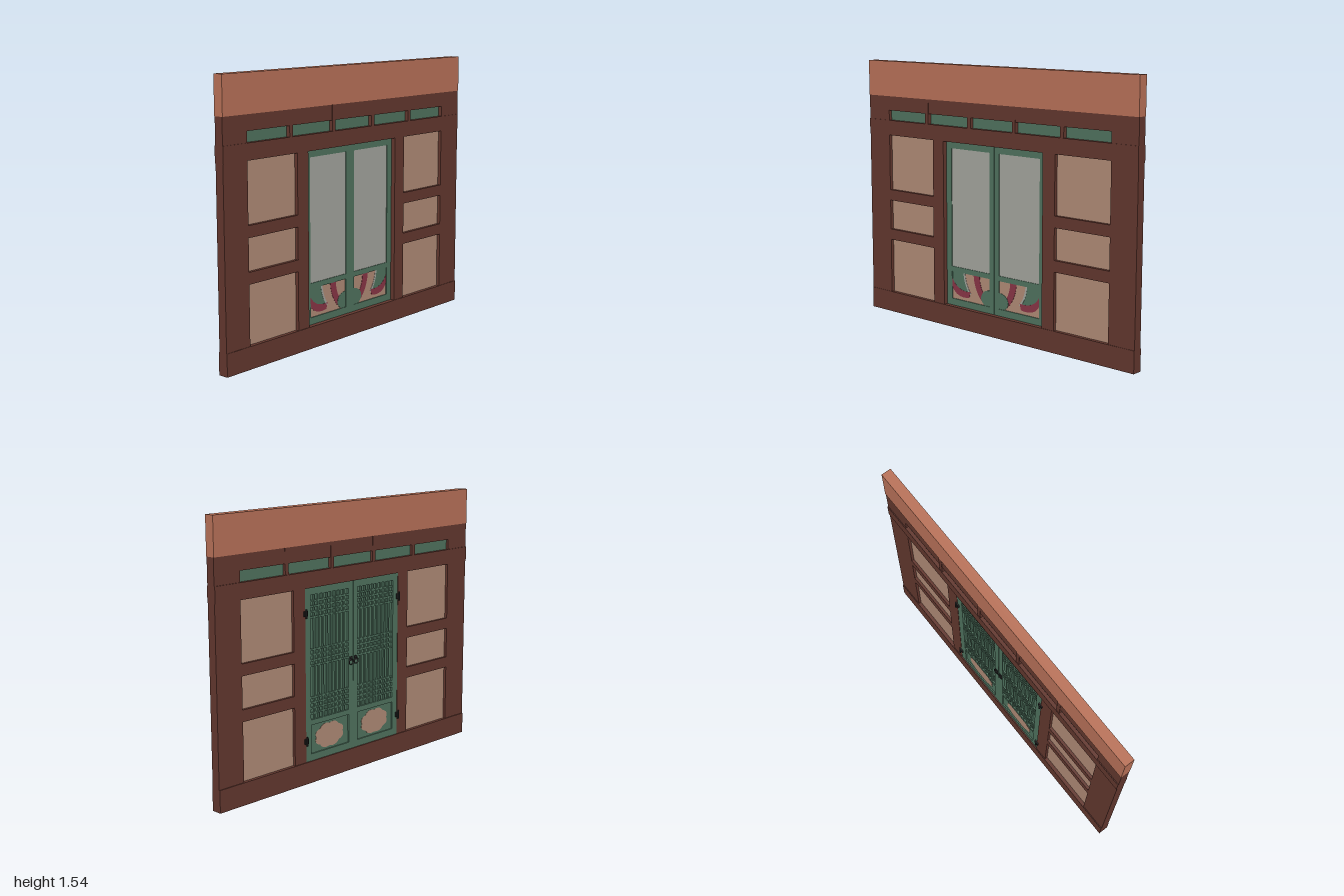
import * as THREE from 'three';

const mat = (name, color) => {
  const m = new THREE.MeshStandardMaterial({ color });
  m.name = name;
  return m;
};

export function createModel() {
  const root = new THREE.Group();
  root.name = 'doorWall';
  const wood = mat('darkWood', 0x62372e);
  const beamWood = mat('beamWood', 0xb87158);
  const green = mat('greenPaint', 0x4f725e);
  const plaster = mat('plaster', 0xaf8a76);
  const paper = mat('paper', 0xa3a49d);
  const crimson = mat('crimson', 0x883445);
  const iron = mat('iron', 0x222222);

  // Box from its limits on each axis
  const box = (name, m, x0, x1, y0, y1, z0, z1, parent = root) => {
    const mesh = new THREE.Mesh(new THREE.BoxGeometry(x1 - x0, y1 - y0, Math.abs(z1 - z0)), m);
    mesh.position.set((x0 + x1) / 2, (y0 + y1) / 2, (z0 + z1) / 2);
    mesh.name = name;
    parent.add(mesh);
    return mesh;
  };

  // Thin painted plate lying in the wall plane, facing +x (dir 1) or -x (dir -1)
  const plate = (name, m, shape, x, dir, parent) => {
    const geo = new THREE.ExtrudeGeometry(shape, { depth: 0.0015, bevelEnabled: false, curveSegments: 12 });
    const mesh = new THREE.Mesh(geo, m);
    mesh.rotation.y = dir * Math.PI / 2;
    mesh.position.x = x;
    mesh.name = name;
    parent.add(mesh);
  };

  // Beam, lintel and sill
  box('topBeam', beamWood, -0.025, 0.033, 1.335, 1.545, -1, 1);
  box('upperRail', wood, -0.022, 0.03, 1.25, 1.335, -1, 1);
  box('lintel', wood, -0.027, 0.033, 1.1, 1.19, -1, 1);
  box('sill', wood, -0.027, 0.033, 0, 0.125, -1, 1);

  // Transom panels and the small posts between them
  box('transomPanel', green, -0.008, 0.01, 1.18, 1.26, -0.84, 0.84);
  for (const z of [-0.507, -0.168, 0.168, 0.507])
    box('transomPost', wood, -0.024, 0.032, 1.19, 1.335, z - 0.0125, z + 0.0125);

  // Both side bays: posts, rails and plaster infill
  for (const s of [1, -1]) {
    box('transomEnd', wood, -0.022, 0.03, 1.19, 1.25, s * 0.83, s);
    box('outerPost', wood, -0.022, 0.03, 0.125, 1.1, s * 0.83, s);
    box('doorPost', wood, -0.022, 0.03, 0.125, 1.1, s * 0.375, s * 0.46);
    for (const [a, b] of [[0.455, 0.52], [0.7, 0.765]])
      box('bayRail', wood, -0.022, 0.03, a, b, s * 0.46, s * 0.83);
    for (const [a, b] of [[0.125, 0.455], [0.52, 0.7], [0.765, 1.1]])
      box('plasterPanel', plaster, -0.006, 0.01, a, b, s * 0.46, s * 0.83);
  }

  // Door leaves
  for (const s of [1, -1]) {
    const leaf = new THREE.Group();
    leaf.name = s > 0 ? 'leftDoorLeaf' : 'rightDoorLeaf';
    root.add(leaf);
    const b = (name, m, x0, x1, y0, y1, z0, z1) => box(name, m, x0, x1, y0, y1, s * z0, s * z1, leaf);

    b('innerStile', green, -0.02, 0.004, 0.125, 1.1, 0.001, 0.036);
    b('outerStile', green, -0.02, 0.004, 0.125, 1.1, 0.334, 0.375);
    for (const [y0, y1] of [[0.125, 0.165], [0.33, 0.36], [1.06, 1.1]])
      b('leafRail', green, -0.02, 0.004, y0, y1, 0.036, 0.334);
    b('paperPane', paper, -0.005, 0, 0.36, 1.06, 0.036, 0.334);
    b('latticeBacking', green, -0.008, -0.005, 0.36, 1.06, 0.036, 0.334);
    b('lowerPanel', green, -0.012, -0.004, 0.165, 0.33, 0.036, 0.334);
    b('lowerPanelFace', plaster, -0.004, -0.002, 0.165, 0.33, 0.036, 0.334);

    // Lattice: upright bars crossed by three groups of short bars
    for (let i = 1; i <= 8; i++) {
      const z = 0.036 + i * 0.298 / 9;
      b('latticeUpright', green, -0.018, -0.008, 0.36, 1.06, z - 0.005, z + 0.005);
    }
    for (const y of [0.44, 0.71, 0.98])
      for (const k of [-1.5, -0.5, 0.5, 1.5])
        b('latticeCross', green, -0.017, -0.008, y + k * 0.03 - 0.005, y + k * 0.03 + 0.005, 0.036, 0.334);

    // Painted flower on the lower panel; z is mirrored for each leaf
    const X = z => -s * z;
    const outline = (...steps) => {
      const sh = new THREE.Shape();
      steps.forEach((p, i) => {
        if (i === 0) sh.moveTo(X(p[0]), p[1]);
        else if (p.length === 2) sh.lineTo(X(p[0]), p[1]);
        else sh.quadraticCurveTo(X(p[0]), p[1], X(p[2]), p[3]);
      });
      return sh;
    };
    plate('paintedLeaf', green, outline([0.334, 0.33], [0.24, 0.33], [0.235, 0.25, 0.19, 0.21],
      [0.30, 0.2, 0.334, 0.25]), -0.002, 1, leaf);
    plate('outerPetal', crimson, outline([0.334, 0.285], [0.29, 0.21, 0.19, 0.225], [0.2, 0.188],
      [0.3, 0.17, 0.334, 0.235]), -0.001, 1, leaf);
    plate('petalEdge', paper, outline([0.245, 0.33], [0.233, 0.33], [0.225, 0.26, 0.185, 0.215],
      [0.195, 0.208], [0.24, 0.26, 0.245, 0.33]), -0.001, 1, leaf);
    plate('innerPetal', crimson, outline([0.165, 0.33], [0.118, 0.33], [0.115, 0.26, 0.075, 0.22],
      [0.105, 0.19], [0.16, 0.25, 0.165, 0.33]), -0.002, 1, leaf);
    plate('flowerHeart', green, outline([0.036, 0.165], [0.036, 0.26], [0.1, 0.255, 0.105, 0.205],
      [0.105, 0.185, 0.075, 0.165]), -0.0005, 1, leaf);

    // Scalloped medallion on the other face
    const cloud = new THREE.Shape();
    for (let i = 0; i < 64; i++) {
      const a = i / 64 * Math.PI * 2, r = 0.9 + 0.1 * Math.abs(Math.sin(a * 4));
      const x = s * 0.185 + 0.115 * r * Math.cos(a), y = 0.247 + 0.074 * r * Math.sin(a);
      i ? cloud.lineTo(x, y) : cloud.moveTo(x, y);
    }
    plate('medallion', plaster, cloud, -0.012, -1, leaf);

    // Hinges
    for (const y of [0.963, 0.247]) {
      b('hingePlate', iron, -0.029, -0.02, y - 0.015, y + 0.015, 0.36, 0.388);
      const pin = new THREE.Mesh(new THREE.CylinderGeometry(0.005, 0.005, 0.05, 10), iron);
      pin.position.set(-0.032, y, s * 0.375);
      pin.name = 'hingePin';
      leaf.add(pin);
    }

    // Ring pull
    b('pullPlate', iron, -0.023, -0.02, 0.642, 0.668, 0.008, 0.03);
    const ring = new THREE.Mesh(new THREE.TorusGeometry(0.016, 0.003, 8, 20), iron);
    ring.rotation.y = Math.PI / 2;
    ring.position.set(-0.025, 0.638, s * 0.02);
    ring.name = 'ringPull';
    leaf.add(ring);
  }
  return root;
}
